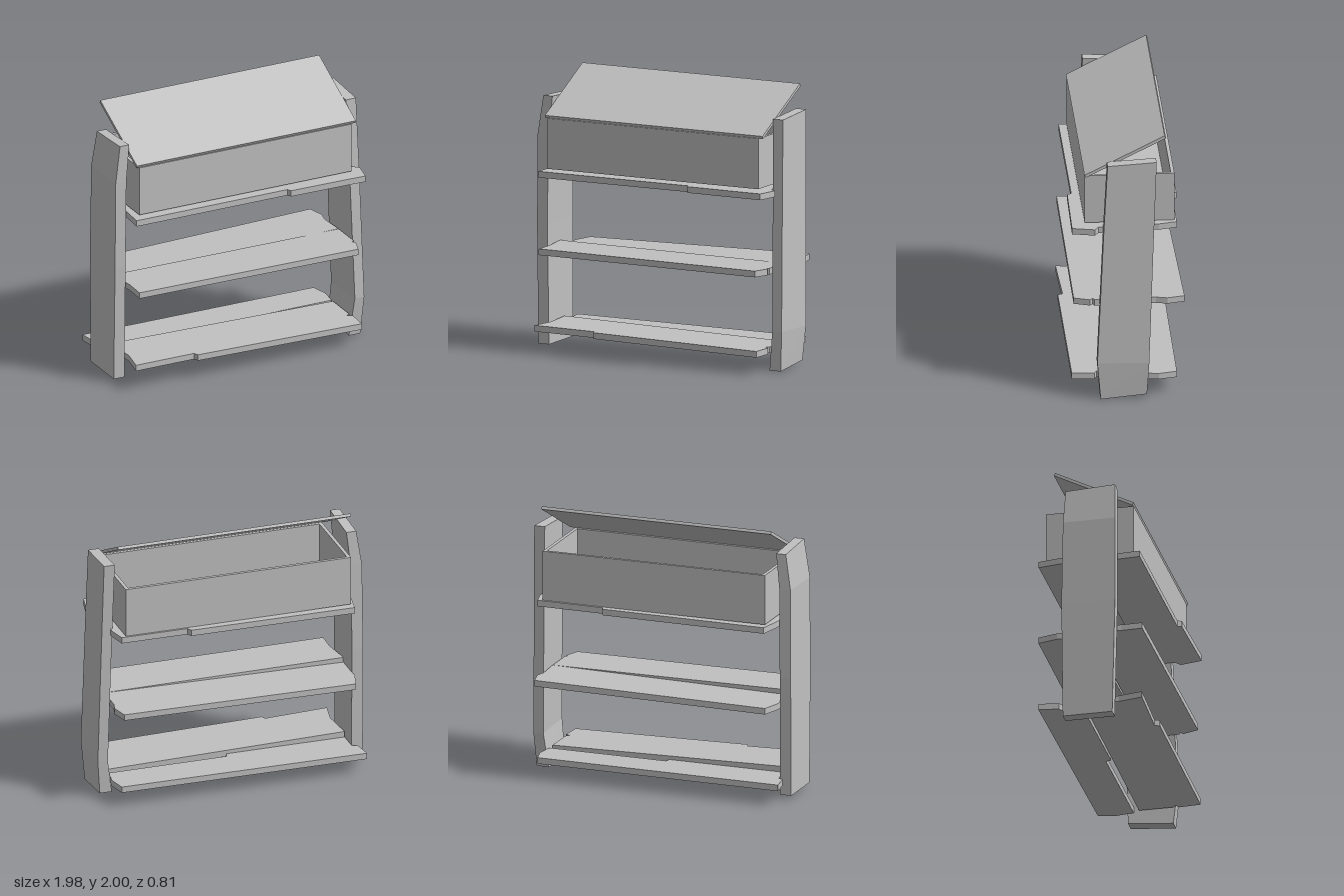
import * as THREE from 'three';

const grey = new THREE.MeshStandardMaterial({ color: 0xc0c0c0 });
grey.name = 'plain grey';

function add(parent, name, geometry) {
  const mesh = new THREE.Mesh(geometry, grey);
  mesh.name = name;
  parent.add(mesh);
  return mesh;
}

// Worn plank: an outline in x/z, extruded down, sloping from the -x end to the +x end
function plank(outline, topLow, topHigh, thickness = 0.045) {
  const shape = new THREE.Shape(outline.map(([x, z]) => new THREE.Vector2(x, z)));
  const geo = new THREE.ExtrudeGeometry(shape, { depth: thickness, bevelEnabled: false });
  geo.rotateX(Math.PI / 2);
  const pos = geo.attributes.position;
  for (let i = 0; i < pos.count; i++) {
    const t = (pos.getX(i) + 0.9) / 1.8;
    pos.setY(i, pos.getY(i) + topLow + (topHigh - topLow) * t);
  }
  geo.computeVertexNormals();
  return geo;
}

// Crooked post: four-cornered sections [yBack, yFront, xMin, xMax, zBack, zFront]
function post(sections) {
  const rings = sections.map(([yb, yf, x0, x1, zb, zf]) => [
    [x0, yb, zb], [x0, yf, zf], [x1, yf, zf], [x1, yb, zb],
  ]);
  const out = [];
  const quad = (a, b, c, d) => out.push(...a, ...b, ...c, ...a, ...c, ...d);
  for (let r = 0; r + 1 < rings.length; r++) {
    for (let k = 0; k < 4; k++) {
      const n = (k + 1) % 4;
      quad(rings[r][k], rings[r][n], rings[r + 1][n], rings[r + 1][k]);
    }
  }
  const top = rings[rings.length - 1];
  quad(top[0], top[1], top[2], top[3]);
  const low = rings[0];
  quad(low[3], low[2], low[1], low[0]);
  const geo = new THREE.BufferGeometry();
  geo.setAttribute('position', new THREE.Float32BufferAttribute(out, 3));
  geo.computeVertexNormals();
  return geo;
}

export function createModel() {
  const model = new THREE.Group();
  model.name = 'shelfWithBox';

  // Side posts
  add(model, 'leftPost', post([
    [0.03, 0.0, 0.88, 0.97, -0.13, 0.2],
    [0.28, 0.29, 0.915, 0.99, -0.145, 0.225],
    [1.3, 1.3, 0.895, 0.972, -0.18, 0.178],
    [1.83, 1.81, 0.882, 0.962, -0.2, 0.15],
  ]));
  add(model, 'rightPost', post([
    [0.03, 0.03, -0.99, -0.905, -0.18, 0.18],
    [0.9, 0.9, -0.99, -0.907, -0.19, 0.2],
    [1.55, 1.55, -0.985, -0.9, -0.18, 0.2],
    [1.81, 1.83, -0.945, -0.872, -0.17, 0.19],
  ]));

  // Shelves, each a front and a back plank with chipped edges
  const shelves = new THREE.Group();
  shelves.name = 'shelves';
  model.add(shelves);

  add(shelves, 'topShelfFront', plank([
    [-0.9, 0.02], [-0.25, 0.02], [-0.24, 0.0], [0.9, 0.0], [0.9, 0.21], [0.945, 0.24],
    [0.91, 0.4], [0.32, 0.39], [0.305, 0.36], [-0.9, 0.36], [-0.89, 0.2],
  ], 1.312, 1.312));
  add(shelves, 'topShelfBack', plank([
    [-0.86, -0.385], [0.37, -0.385], [0.385, -0.35], [0.88, -0.35], [0.91, -0.22],
    [0.9, 0.0], [-0.24, 0.0], [-0.25, -0.02], [-0.91, -0.02], [-0.89, -0.22],
  ], 1.318, 1.327));

  add(shelves, 'middleShelfFront', plank([
    [-0.91, 0.002], [0.9, 0.002], [0.9, 0.24], [0.875, 0.25], [0.9, 0.27],
    [0.86, 0.385], [-0.885, 0.375], [-0.88, 0.22],
  ], 0.755, 0.747));
  add(shelves, 'middleShelfBack', plank([
    [-0.87, -0.385], [0.88, -0.405], [0.91, -0.28], [0.89, -0.2], [0.9, -0.002],
    [-0.91, -0.002], [-0.91, -0.24],
  ], 0.72, 0.748));

  add(shelves, 'bottomShelfFront', plank([
    [-0.9, -0.05], [0.88, -0.05], [0.88, 0.2], [0.855, 0.22], [0.89, 0.24],
    [0.88, 0.4], [-0.43, 0.4], [-0.445, 0.365], [-0.915, 0.38], [-0.88, 0.2],
  ], 0.2, 0.17));
  add(shelves, 'bottomShelfBack', plank([
    [-0.96, -0.365], [0.88, -0.35], [0.91, -0.22], [0.89, -0.09], [0.0, -0.09],
    [-0.01, -0.05], [-0.9, -0.05], [-0.9, -0.2], [-0.94, -0.22],
  ], 0.157, 0.16));

  // Open box on the top shelf
  const box = new THREE.Group();
  box.name = 'box';
  box.position.set(-0.002, 1.325, -0.015);
  model.add(box);
  const w = 1.695, h = 0.365, d = 0.64, t = 0.025;
  add(box, 'boxFloor', new THREE.BoxGeometry(w - 2 * t, t, d - 2 * t)).position.y = t / 2;
  for (const s of [-1, 1]) {
    add(box, s > 0 ? 'boxFront' : 'boxBack', new THREE.BoxGeometry(w, h, t))
      .position.set(0, h / 2, s * (d - t) / 2);
    add(box, s > 0 ? 'boxLeftSide' : 'boxRightSide', new THREE.BoxGeometry(t, h, d - 2 * t))
      .position.set(s * (w - t) / 2, h / 2, 0);
  }

  // Tilted lid resting on the front edge of the box
  const lid = add(model, 'lid', new THREE.BoxGeometry(1.75, 0.022, 0.64));
  lid.position.set(0.005, 1.845, 0.018);
  lid.rotation.x = 0.468;

  return model;
}
